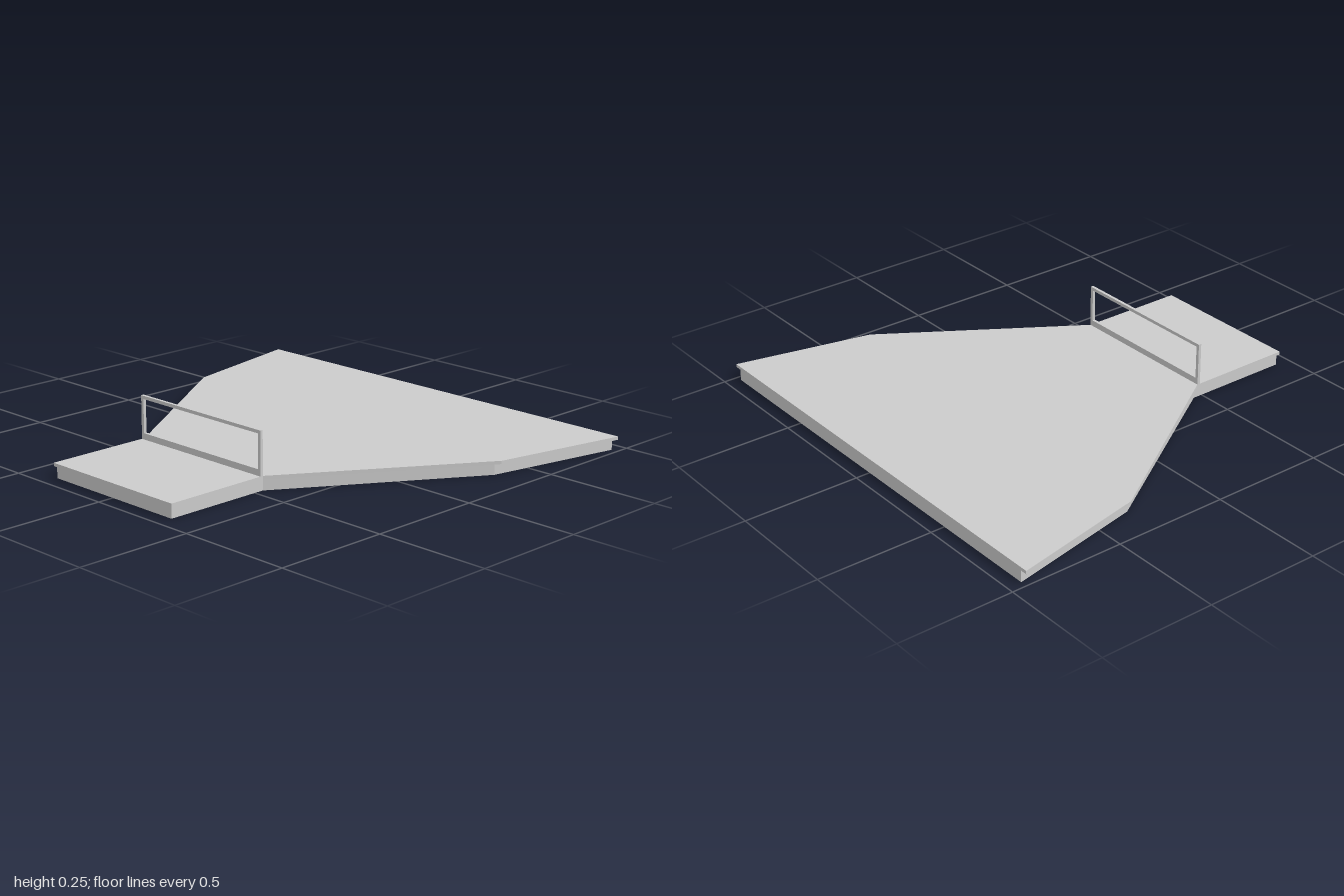
import * as THREE from 'three';

const material = new THREE.MeshStandardMaterial({ color: 0xcccccc, flatShading: true });

// Mirrored outline (x, z on the left side) extruded upward from y0 to y1
function slab(name, half, y0, y1) {
  const right = half.map(([x, z]) => [-x, z]).reverse();
  const shape = new THREE.Shape([...half, ...right].map(([x, z]) => new THREE.Vector2(x, -z)));
  const geometry = new THREE.ExtrudeGeometry(shape, { depth: y1 - y0, bevelEnabled: false });
  geometry.rotateX(-Math.PI / 2);
  geometry.translate(0, y0, 0);
  const mesh = new THREE.Mesh(geometry, material);
  mesh.name = name;
  return mesh;
}

export function createModel() {
  const model = new THREE.Group();
  model.name = 'platform';

  // Recessed base under the overhanging deck
  model.add(slab('base', [[0.34, 0.93], [0.34, 0.457], [0.845, -0.335], [0.97, -0.938]], 0, 0.05));
  model.add(slab('deck', [[0.35, 0.938], [0.35, 0.465], [0.875, -0.342], [1, -0.938]], 0.05, 0.064));

  // Upright barrier frame across the neck, with one rectangular opening
  const frame = new THREE.Shape([[-0.35, 0.064], [0.35, 0.064], [0.35, 0.25], [-0.35, 0.25]]
    .map(([x, y]) => new THREE.Vector2(x, y)));
  frame.holes.push(new THREE.Path([[-0.336, 0.091], [-0.336, 0.236], [0.336, 0.236], [0.336, 0.091]]
    .map(([x, y]) => new THREE.Vector2(x, y))));
  const geometry = new THREE.ExtrudeGeometry(frame, { depth: 0.013, bevelEnabled: false });
  const barrier = new THREE.Mesh(geometry, material);
  barrier.name = 'barrierFrame';
  barrier.position.z = 0.466;
  model.add(barrier);

  return model;
}
